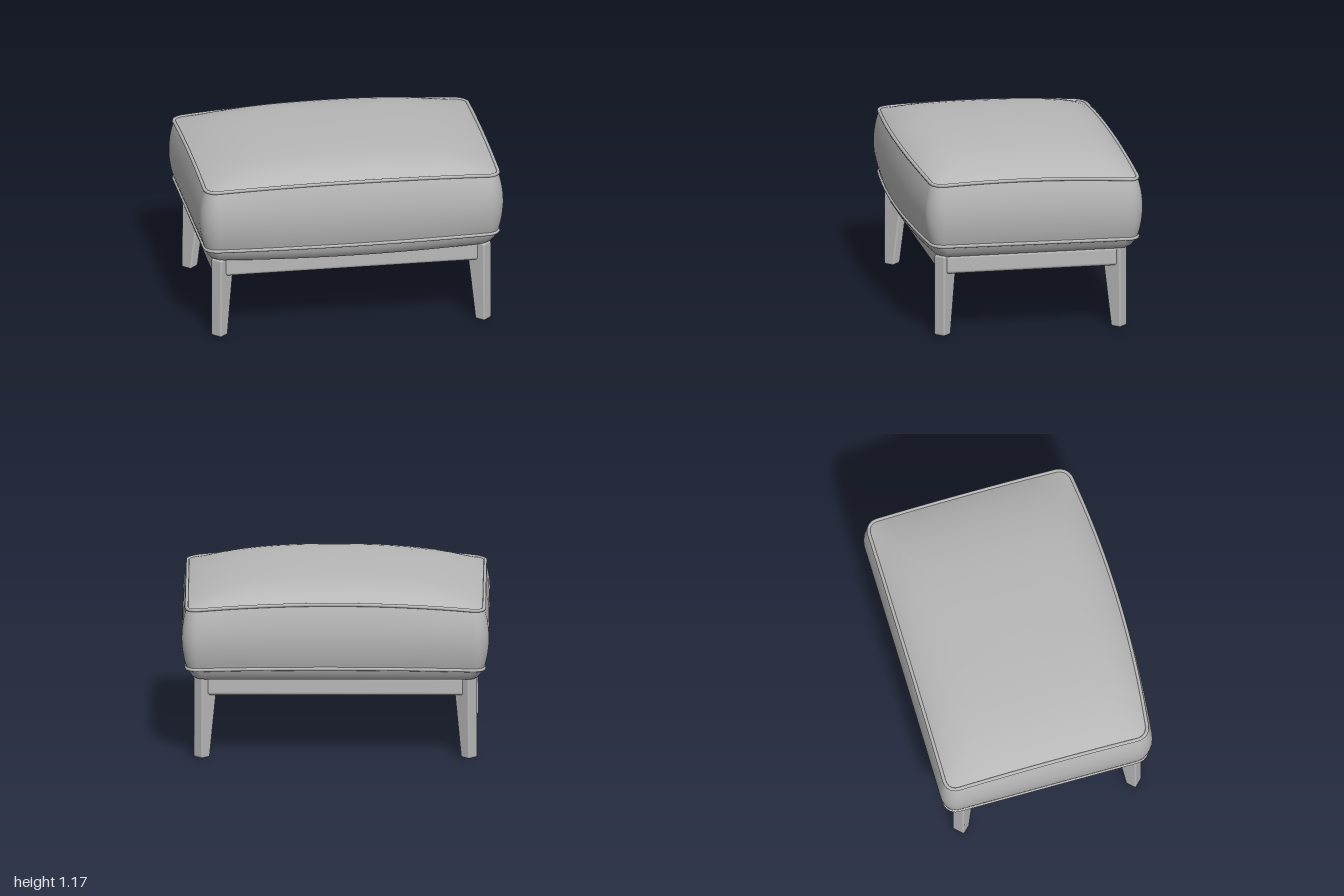
import * as THREE from 'three';
import { RoundedBoxGeometry } from 'three/addons/geometries/RoundedBoxGeometry.js';

const HX = 0.965, ZB = -0.715, ZF = 0.64, BULGE = 0.065;

// Rounded rectangle grown by o and shrunk by s, with a bowed front edge.
// yOf(u, v) gives the height, u and v running from -1 to 1 across the plan.
function ring(o, s, yOf) {
  const hx = HX + o, hz = (ZF - ZB) / 2 + o, zc = (ZF + ZB) / 2, r = 0.07 + Math.max(0, o);
  const flat = [];
  const signs = [[1, -1], [-1, -1], [-1, 1], [1, 1]];
  const arc = (k, i) => {
    const a = (k + i / 7) * Math.PI / 2;
    return [signs[k][0] * (hx - r) + r * Math.cos(a), signs[k][1] * (hz - r) - r * Math.sin(a)];
  };
  for (let k = 0; k < 4; k++) {
    for (let i = 0; i <= 7; i++) flat.push(arc(k, i));
    const a = arc(k, 7), b = arc((k + 1) % 4, 0);
    for (let i = 1; i < 18; i++) flat.push([a[0] + (b[0] - a[0]) * i / 18, a[1] + (b[1] - a[1]) * i / 18]);
  }
  return flat.map(([px, pz]) => {
    const u = px * s / hx, v = pz * s / hz;
    const z = zc + pz * s + BULGE * (1 - u * u) * (v + 1) / 2;
    return new THREE.Vector3(px * s, yOf(u, v), z);
  });
}

// Skin over closed rings, listed from the bottom up or from the rim inward
function loft(rings) {
  const n = rings[0].length, index = [];
  for (let r = 0; r < rings.length - 1; r++) {
    for (let j = 0; j < n; j++) {
      const a = r * n + j, b = r * n + (j + 1) % n;
      index.push(a, b, b + n, a, b + n, a + n);
    }
  }
  const g = new THREE.BufferGeometry().setFromPoints(rings.flat());
  g.setIndex(index);
  g.computeVertexNormals();
  return g;
}

// Heights of the two seams and the padded top
const upperSeam = (u, v) => 1.015 + 0.012 * v + 0.045 * (1 - u * u) + 0.025 * (1 - v * v);
const lowerSeam = (u, v) => 0.613 + 0.006 * v + 0.012 * (1 - u * u);
const crown = (u, v) => upperSeam(u, v) + 0.086 * (1 - u ** 4) * (1 - v ** 6);

export function createModel() {
  const group = new THREE.Group();
  const grey = new THREE.MeshStandardMaterial({ color: 0xb8b8b8 });
  grey.name = 'plain grey';
  const add = (name, geometry) => {
    const m = new THREE.Mesh(geometry, grey);
    m.name = name;
    group.add(m);
    return m;
  };

  // Cushion: padded top, bulging sides, tucked-in lower band, flat underside
  const steps = [1, 0.99, 0.975, 0.95, 0.92, 0.88, 0.82, 0.75, 0.66, 0.55, 0.4, 0.2, 0.001];
  add('cushionTop', loft(steps.map(s => ring(0, s, crown))));

  const sides = [];
  for (let i = 0; i <= 12; i++) {
    const t = i / 12;
    sides.push(ring(0.035 * Math.sin(Math.PI * t) ** 0.85, 1,
      (u, v) => lowerSeam(u, v) * (1 - t) + upperSeam(u, v) * t));
  }
  add('cushionSides', loft(sides));

  const band = [[-0.065, 0.531], [-0.05, 0.535], [-0.035, 0.548], [-0.02, 0.57], [-0.008, 0.595]]
    .map(([o, y]) => ring(o, 1, () => y));
  band.push(ring(0, 1, lowerSeam));
  add('cushionLowerBand', loft(band));
  add('cushionUnderside', loft([0.001, 0.5, 1].map(s => ring(-0.065, s, () => 0.531))));

  // Piping along both seams
  for (const [name, height] of [['upperPiping', upperSeam], ['lowerPiping', lowerSeam]]) {
    const path = new THREE.CatmullRomCurve3(ring(0.002, 1, height), true);
    add(name, new THREE.TubeGeometry(path, 240, 0.012, 8, true));
  }

  // Rails between the legs
  const rail = (name, w, d, x, z) =>
    add(name, new RoundedBoxGeometry(w, 0.125, d, 4, 0.022)).position.set(x, 0.4775, z);
  rail('frontRail', 1.68, 0.08, 0, 0.55);
  rail('backRail', 1.68, 0.08, 0, -0.58);
  rail('leftRail', 0.08, 1.14, 0.87, -0.015);
  rail('rightRail', 0.08, 1.14, -0.87, -0.015);

  // Legs: diagonal plates, straight outside and tapering inward to the foot
  const H = 0.54;
  for (const [name, sx, sz, z] of [['frontLeftLeg', 1, 1, 0.595], ['frontRightLeg', -1, 1, 0.595],
    ['backLeftLeg', 1, -1, -0.625], ['backRightLeg', -1, -1, -0.625]]) {
    const g = new RoundedBoxGeometry(0.085, H, 0.15, 3, 0.014);
    const p = g.attributes.position;
    for (let i = 0; i < p.count; i++) {
      const t = p.getY(i) / H + 0.5;
      p.setZ(i, (p.getZ(i) - 0.075) * (0.47 + 0.53 * t));
      p.setY(i, t * H);
    }
    const leg = add(name, g);
    leg.position.set(sx * 0.895, 0, z);
    leg.rotation.y = Math.atan2(sx, sz);
  }
  return group;
}
